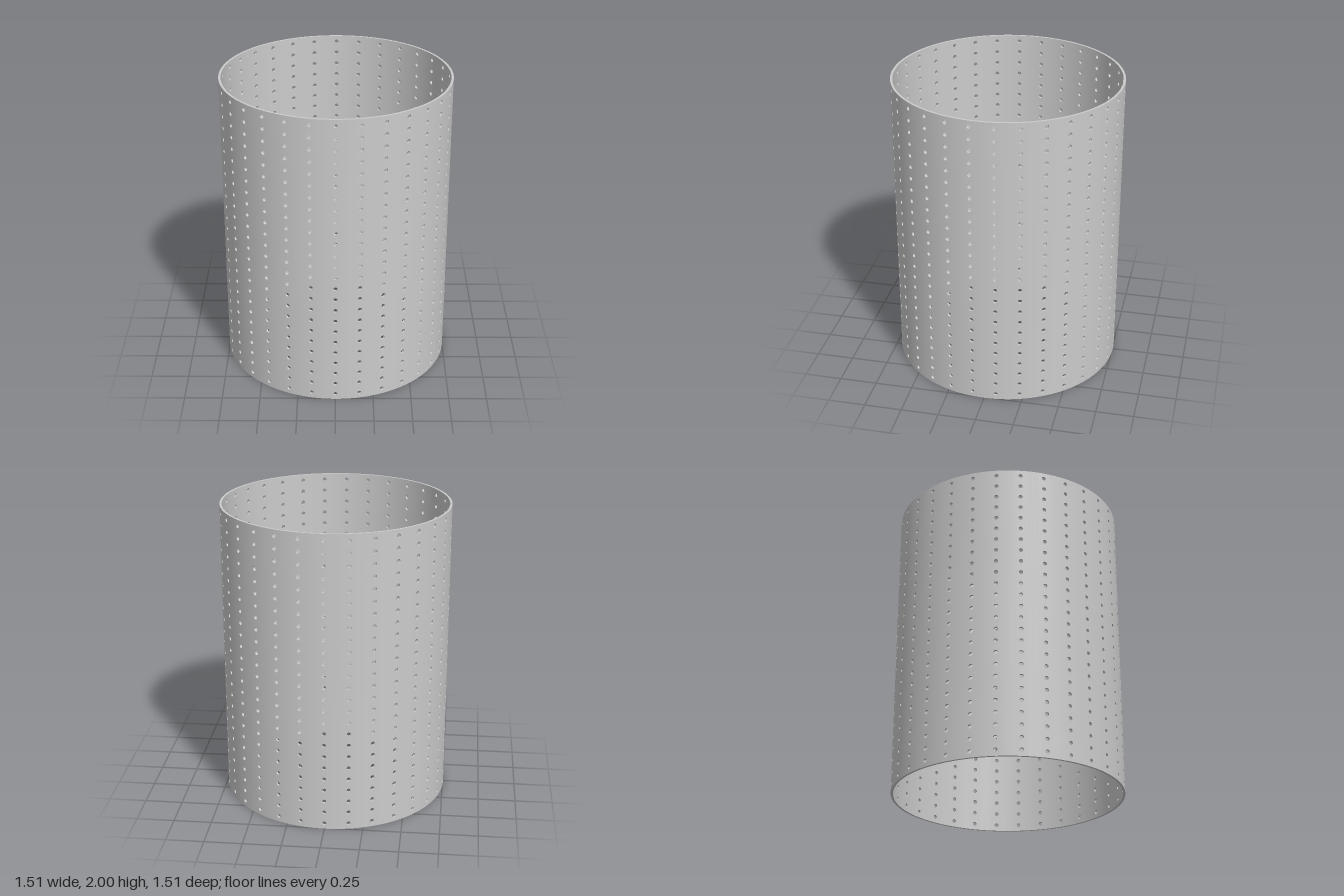
import * as THREE from 'three';

const OUTER = 0.756, INNER = 0.741, HEIGHT = 2;
const COLUMNS = 30, ROWS = 25, SIDES = 16, HOLE = 0.0135;
const PITCH = HEIGHT / ROWS;                 // vertical hole spacing
const STEP = (Math.PI * 2) / COLUMNS;        // angular hole spacing
const HALF = STEP / 4;                       // half width of a perforated tile

// Collects quads given as four { u: angle, y, r, n: normal } corners
function quadBuilder() {
  const positions = [], normals = [];
  return {
    add(a, b, c, d) {
      for (const p of [a, b, c, a, c, d]) {
        positions.push(p.r * Math.sin(p.u), p.y, p.r * Math.cos(p.u));
        normals.push(...p.n);
      }
    },
    build() {
      const g = new THREE.BufferGeometry();
      g.setAttribute('position', new THREE.Float32BufferAttribute(positions, 3));
      g.setAttribute('normal', new THREE.Float32BufferAttribute(normals, 3));
      return g;
    },
  };
}

// Point on the outer (s = 1) or inner (s = -1) skin
const skin = ([u, y], s) => ({
  u, y, r: s > 0 ? OUTER : INNER, n: [s * Math.sin(u), 0, s * Math.cos(u)],
});

// Adds one counter-clockwise patch to both skins
function addSkins(q, a, b, c, d) {
  q.add(skin(a, 1), skin(b, 1), skin(c, 1), skin(d, 1));
  q.add(skin(d, -1), skin(c, -1), skin(b, -1), skin(a, -1));
}

// One column: a strip of drilled square tiles plus the plain strip beside it
function columnGeometry() {
  const q = quadBuilder();
  for (let row = 0; row < ROWS; row++) {
    const cy = (row + 0.5) * PITCH;
    const angle = (i) => (i / SIDES) * Math.PI * 2;
    const rim = (i) => [HOLE * Math.cos(angle(i)) / OUTER, cy + HOLE * Math.sin(angle(i))];
    const border = (i) => {
      const c = Math.cos(angle(i)), s = Math.sin(angle(i));
      const k = 1 / Math.max(Math.abs(c), Math.abs(s));
      return [c * k * HALF, cy + s * k * PITCH / 2];
    };
    // Wall of the hole, facing its axis
    const wall = (i, r) => {
      const [u, y] = rim(i);
      const c = Math.cos(angle(i));
      return { u, y, r, n: [-c * Math.cos(u), -Math.sin(angle(i)), c * Math.sin(u)] };
    };
    for (let i = 0; i < SIDES; i++) {
      addSkins(q, rim(i), border(i), border(i + 1), rim(i + 1));
      q.add(wall(i, OUTER), wall(i + 1, OUTER), wall(i + 1, INNER), wall(i, INNER));
    }
  }
  // Plain strip up to the next column
  const w = HALF / 2;
  for (let i = 0; i < 4; i++) {
    const u = HALF + i * w;
    addSkins(q, [u, 0], [u + w, 0], [u + w, HEIGHT], [u, HEIGHT]);
  }
  return q.build();
}

export function createModel() {
  const model = new THREE.Group();
  model.name = 'perforatedTube';
  const material = new THREE.MeshStandardMaterial({ color: 0xcccccc });

  // Perforated wall
  const wall = new THREE.Group();
  wall.name = 'perforatedWall';
  const column = columnGeometry();
  for (let i = 0; i < COLUMNS; i++) {
    const mesh = new THREE.Mesh(column, material);
    mesh.name = `wallColumn${i + 1}`;
    mesh.rotation.y = i * STEP;
    wall.add(mesh);
  }
  model.add(wall);

  // Flat rims closing the wall thickness at both ends
  const ring = new THREE.RingGeometry(INNER, OUTER, COLUMNS * 8);
  for (const [name, y, turn] of [['topRim', HEIGHT, -1], ['bottomRim', 0, 1]]) {
    const rim = new THREE.Mesh(ring, material);
    rim.name = name;
    rim.position.y = y;
    rim.rotation.x = turn * Math.PI / 2;
    model.add(rim);
  }
  return model;
}
